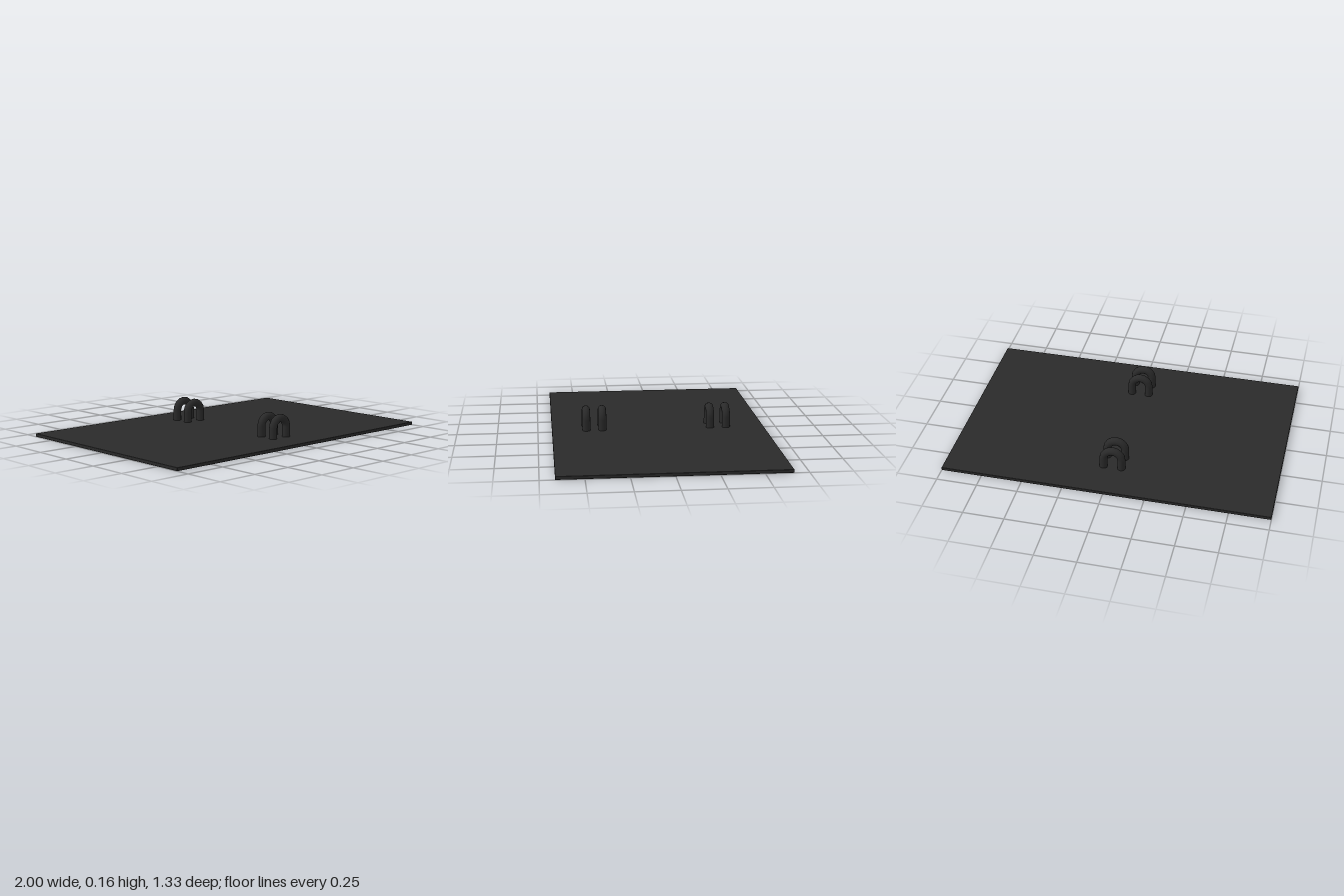
import * as THREE from 'three';
import { RoundedBoxGeometry } from 'three/addons/geometries/RoundedBoxGeometry.js';
import { mergeGeometries } from 'three/addons/utils/BufferGeometryUtils.js';

const PLATE_TOP = 0.02, SPRING = 0.085, BEND = 0.055, ROD = 0.025;

// U-shaped loop: half a torus standing on two straight legs
function loopGeometry() {
  const bottom = PLATE_TOP - 0.005;
  const legHeight = SPRING - bottom;
  const parts = [new THREE.TorusGeometry(BEND, ROD, 12, 8, Math.PI).translate(0, SPRING, 0)];
  for (const side of [-1, 1]) {
    parts.push(new THREE.CylinderGeometry(ROD, ROD, legHeight, 12, 1, true)
      .translate(side * BEND, bottom + legHeight / 2, 0));
  }
  return mergeGeometries(parts);
}

export function createModel() {
  const model = new THREE.Group();
  model.name = 'plateWithLoops';
  const material = new THREE.MeshStandardMaterial({ color: 0x2a2a2a });

  // Thin base plate with slightly softened edges
  const plate = new THREE.Mesh(new RoundedBoxGeometry(2, PLATE_TOP, 1.326, 2, 0.003), material);
  plate.name = 'basePlate';
  plate.position.y = PLATE_TOP / 2;
  model.add(plate);

  // Two pairs of loops, one near the front and one near the back
  const geometry = loopGeometry();
  const pairs = { frontLoops: [0.45, 0.35], backLoops: [-0.325, -0.425] };
  for (const [name, depths] of Object.entries(pairs)) {
    const pair = new THREE.Group();
    pair.name = name;
    for (const z of depths) {
      const loop = new THREE.Mesh(geometry, material);
      loop.name = 'loop';
      loop.position.set(-0.004, 0, z);
      pair.add(loop);
    }
    model.add(pair);
  }
  return model;
}
